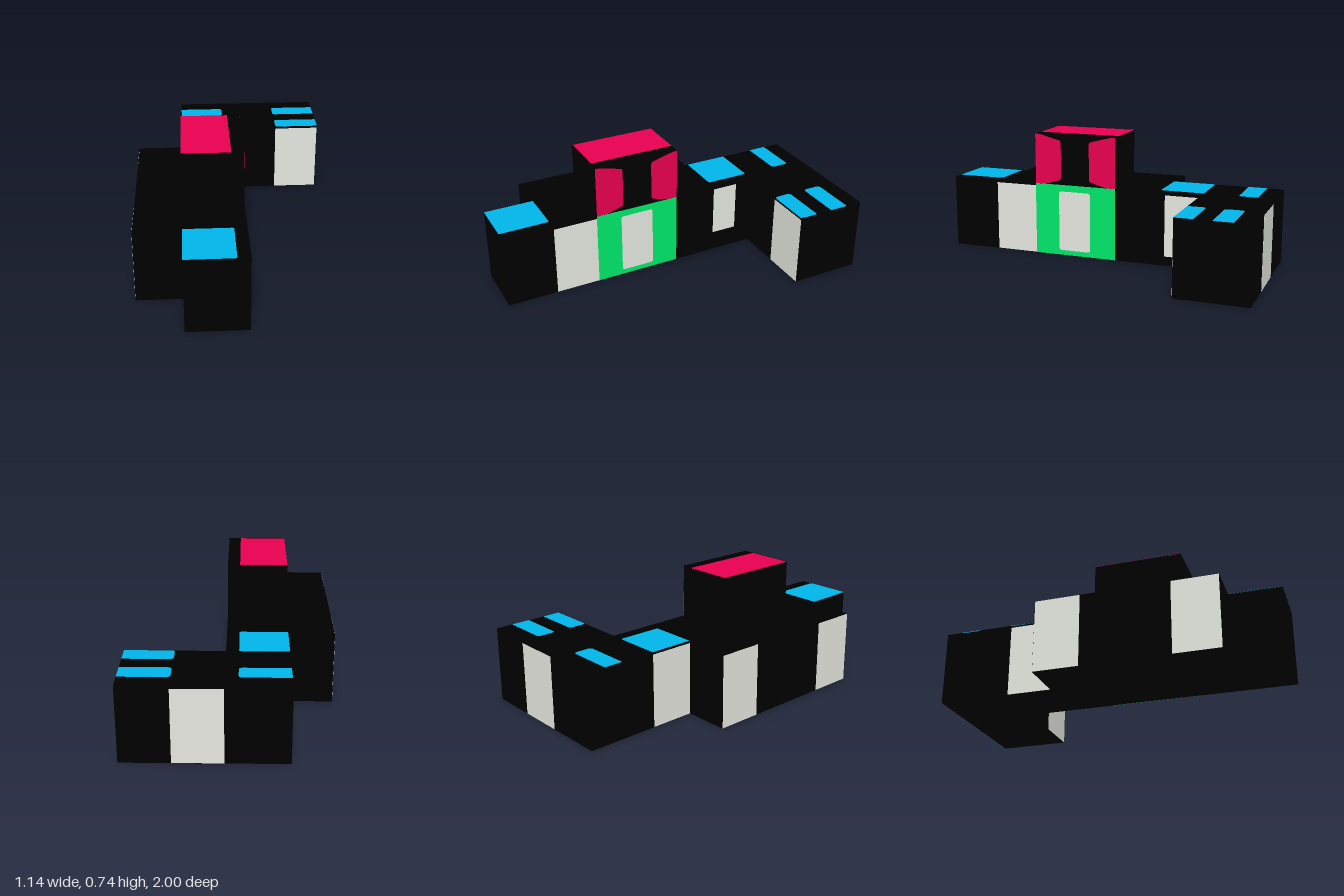
import * as THREE from 'three';

const material = (name, color) => {
  const m = new THREE.MeshStandardMaterial({ color });
  m.name = name;
  return m;
};

export function createModel() {
  const black = material('black', 0x000000);
  const grey = material('pale grey', 0xe4e7de);
  const green = material('green', 0x00e96a);
  const red = material('crimson', 0xe80050);
  const blue = material('blue', 0x00baee);

  const model = new THREE.Group();
  model.name = 'building';
  const T = 0.004; // plate thickness
  const P = 0.001; // how far plates stand proud of a wall

  const add = (name, geometry, mat) => {
    const mesh = new THREE.Mesh(geometry, mat);
    mesh.name = name;
    model.add(mesh);
    return mesh;
  };
  // box from its limits on each axis
  const block = (name, mat, [x0, x1], [y0, y1], [z0, z1]) =>
    add(name, new THREE.BoxGeometry(x1 - x0, y1 - y0, z1 - z0), mat)
      .position.set((x0 + x1) / 2, (y0 + y1) / 2, (z0 + z1) / 2);

  // limits of a plate let into a face that points along + or - of an axis
  const plus = (face) => [face + P - T, face + P];
  const minus = (face) => [face - P, face - P + T];

  // rectangle with separate corner radii for its left and right ends
  const rounded = (x0, x1, y0, y1, rl, rr) => {
    const s = new THREE.Shape();
    s.moveTo(x0 + rl, y0);
    s.lineTo(x1 - rr, y0);
    s.quadraticCurveTo(x1, y0, x1, y0 + rr);
    s.lineTo(x1, y1 - rr);
    s.quadraticCurveTo(x1, y1, x1 - rr, y1);
    s.lineTo(x0 + rl, y1);
    s.quadraticCurveTo(x0, y1, x0, y1 - rl);
    s.lineTo(x0, y0 + rl);
    s.quadraticCurveTo(x0, y0, x0 + rl, y0);
    return s;
  };
  const extrude = (shape) =>
    new THREE.ExtrudeGeometry(shape, { depth: T, bevelEnabled: false, curveSegments: 4 });
  // plate on a wall facing +x, drawn with -z to the right
  const sidePlate = (name, mat, shape, x) =>
    add(name, extrude(shape).rotateY(Math.PI / 2), mat).position.x = x + P - T;
  // plate on the low roof, drawn with -z upward
  const roofPlate = (name, x0, x1, z0, z1, rl, rr) =>
    add(name, extrude(rounded(x0, x1, -z1, -z0, rl, rr)).rotateX(-Math.PI / 2), blue)
      .position.y = 0.435 + P - T;

  const L = -0.31, R = 0.03, IN = -0.135; // long block sides and alcove wall
  const WALL = [0.005, 0.422], ROOF = [0.422, 0.435], FLOOR = [0, 0.005];

  // long block: full floor and roof with two side alcoves between them
  block('floor', black, [L, R], FLOOR, [-1, 1]);
  block('roof', black, [L, R], ROOF, [-1, 1]);
  block('spine', black, [L, IN], WALL, [-1, 1]);
  block('frontWall', black, [IN, R], WALL, [0.985, 1]);
  block('middleRooms', black, [IN, R], WALL, [-0.325, 0.705]);
  block('rearRooms', black, [IN, R], WALL, [-1, -0.585]);

  // wings and tower
  block('leftWing', black, [R, 0.572], [0, 0.435], [-1, -0.585]);
  block('rightWing', black, [-0.572, L], [0, 0.422], [-0.325, 0.705]);
  block('tower', black, [L, R], [0.435, 0.74], [-0.07, 0.443]);
  block('towerRoofPanel', red, [L, -0.04], plus(0.74), [-0.07, 0.435]);

  // pale wall panels
  const H = [0.001, 0.421];
  block('alcovePanel', grey, plus(IN), [0.005, 0.421], [-0.585, -0.325]);
  block('sidePanel', grey, plus(R), H, [0.443, 0.704]);
  block('wingFrontPanel', grey, [0.3, 0.571], H, plus(-0.585));
  block('wingBackPanel', grey, [R, 0.3], H, minus(-1));
  block('rightRearPanel', grey, minus(L), H, [-0.585, -0.326]);
  for (const z of [-0.324, 0.444])
    block('rightWingPanel', grey, minus(-0.572), H, [z, z + 0.26]);

  // entrance
  sidePlate('entrancePanel', green, rounded(-0.443, 0.07, 0, 0.435, 0, 0), R);
  sidePlate('door', grey, rounded(-0.29, -0.09, 0.03, 0.395, 0.015, 0.015), R + P);

  // mirrored corner panels on the tower
  for (const s of [-1, 1]) {
    const pts = [[0.256, 0.435], [0.19, 0.437], [0.095, 0.465], [0.09, 0.48], [0.09, 0.69], [0.095, 0.703], [0.225, 0.737], [0.256, 0.739]];
    const shape = new THREE.Shape(pts.map(([u, v]) => new THREE.Vector2(-0.186 + s * u, v)));
    sidePlate('towerCornerPanel', red, shape, R);
  }

  // blue roof pads
  roofPlate('frontRoofPad', L, -0.04, 0.705, 1, 0, 0.012);
  roofPlate('rearRoofPad', L, -0.04, -0.588, -0.33, 0, 0.012);
  roofPlate('cornerSkylight', L, -0.04, -0.9, -0.79, 0, 0.02);
  roofPlate('wingSkylight', 0.3, 0.572, -0.9, -0.79, 0.02, 0);
  roofPlate('wingSkylight', 0.3, 0.572, -0.69, -0.585, 0.02, 0);

  return model;
}
